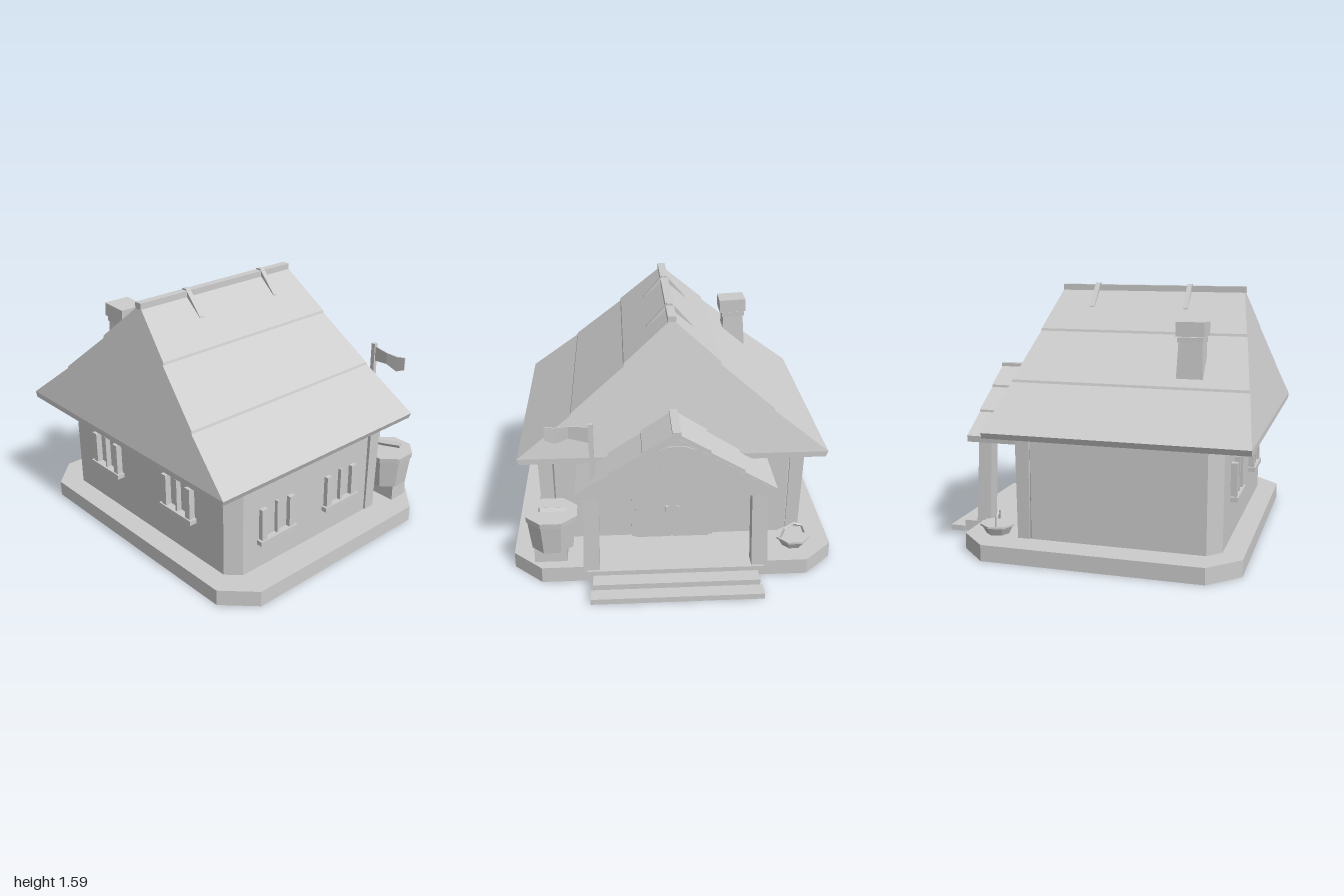
import * as THREE from 'three';

// Double-sided because the base and steps are hollow underneath
const stone = new THREE.MeshStandardMaterial({ color: 0xcccccc, side: THREE.DoubleSide });
stone.name = 'plain grey';

export function createModel() {
  const model = new THREE.Group();

  // Adds a faceted mesh
  function add(name, geo, x = 0, y = 0, z = 0, parent = model) {
    const g = geo.index ? geo.toNonIndexed() : geo;
    g.computeVertexNormals();
    const m = new THREE.Mesh(g, stone);
    m.name = name;
    m.position.set(x, y, z);
    parent.add(m);
    return m;
  }
  const box = (name, w, h, d, x, y, z, parent) =>
    add(name, new THREE.BoxGeometry(w, h, d), x, y, z, parent);

  // Solid between stacked rings of [x, y, z] points, counter-clockwise from above
  function loft(rings, openBottom = false) {
    const p = [];
    const n = rings[0].length;
    const tri = (a, b, c) => p.push(...a, ...b, ...c);
    for (let k = 0; k + 1 < rings.length; k++) {
      for (let i = 0; i < n; i++) {
        const j = (i + 1) % n, a = rings[k], b = rings[k + 1];
        tri(a[i], a[j], b[j]);
        tri(a[i], b[j], b[i]);
      }
    }
    const lo = rings[0], hi = rings[rings.length - 1];
    for (let i = 1; i + 1 < n; i++) {
      if (!openBottom) tri(lo[0], lo[i + 1], lo[i]);
      tri(hi[0], hi[i], hi[i + 1]);
    }
    const g = new THREE.BufferGeometry();
    g.setAttribute('position', new THREE.Float32BufferAttribute(p, 3));
    return g;
  }
  const rect = (y, x0, x1, z0, z1) => [[x0, y, z1], [x1, y, z1], [x1, y, z0], [x0, y, z0]];
  const octagon = (y, w, z0, z1, c) => [
    [-w + c, y, z1], [w - c, y, z1], [w, y, z1 - c], [w, y, z0 + c],
    [w - c, y, z0], [-w + c, y, z0], [-w, y, z0 + c], [-w, y, z1 - c]];
  // Flat outline extruded along +z from the given z
  function slab(points, z, depth) {
    const s = new THREE.Shape(points.map(([x, y]) => new THREE.Vector2(x, y)));
    return new THREE.ExtrudeGeometry(s, { depth, bevelEnabled: false }).translate(0, 0, z);
  }

  // Hollow base, porch edge and steps
  add('base', loft([octagon(0, 1, -0.75, 0.95, 0.18), octagon(0.1, 1, -0.75, 0.95, 0.18)], true));
  box('porchEdge', 1.08, 0.04, 0.06, 0, 0.08, -0.775);
  add('upperStep', loft([rect(0, -0.505, 0.505, -0.905, -0.75), rect(0.07, -0.505, 0.505, -0.905, -0.75)], true));
  add('lowerStep', loft([rect(0, -0.52, 0.52, -1, -0.905), rect(0.035, -0.52, 0.52, -1, -0.905)], true));

  // Walls with chamfered corners
  add('walls', loft([octagon(0.092, 0.815, -0.4, 0.82, 0.08), octagon(0.74, 0.818, -0.4, 0.822, 0.08)]));

  // Back corner posts, leaning outward
  for (const s of [-1, 1]) {
    add('cornerPost', loft([rect(0.1, s * 0.78 - 0.04, s * 0.78 + 0.04, -0.405, -0.33),
      rect(0.74, s * 0.795 - 0.045, s * 0.795 + 0.045, -0.405, -0.32)]));
  }

  // Main roof: eave band and three overlapping tiers, the gable ends leaning inward
  const roofRing = (y, w) => {
    const t = Math.max(0, (y - 0.76) / 0.8) * 0.2;
    return rect(y, -w, w, -0.575 + t, 1 - t);
  };
  const tiers = [
    [[0.725, 0.93], [0.76, 0.945], [1.03, 0.592]],
    [[1.012, 0.617], [1.027, 0.612], [1.31, 0.268]],
    [[1.295, 0.294], [1.31, 0.289], [1.555, 0.005]]];
  for (const tier of tiers) add('roofTier', loft(tier.map(([y, w]) => roofRing(y, w))));
  box('ridgeBeam', 0.05, 0.04, 1.19, 0, 1.555, 0.215);

  // Ridge clips
  const clip = [[-0.145, 1.42], [-0.02, 1.52], [0.02, 1.52], [0.145, 1.42], [0.14, 1.445],
    [0.015, 1.585], [-0.015, 1.585], [-0.14, 1.445]];
  for (const z of [0.455, -0.15]) add('ridgeClip', slab(clip, z - 0.015, 0.03));

  // Chimney
  add('chimneyShaft', loft([rect(0.95, -0.57, -0.405, 0.49, 0.66), rect(1.28, -0.547, -0.412, 0.505, 0.645)]));
  box('chimneyNeck', 0.155, 0.03, 0.15, -0.48, 1.29, 0.575).rotation.z = -0.05;
  box('chimneyCap', 0.178, 0.085, 0.17, -0.475, 1.352, 0.575).rotation.z = -0.05;

  // Porch roof: stepped chevron, closed gable and ridge
  const half = [[0.56, 0.61], [0.59, 0.615], [0.595, 0.655], [0.4, 0.77], [0.398, 0.785],
    [0.2, 0.9], [0.198, 0.915]];
  const mirrored = half.map(([x, y]) => [-x, y]).reverse();
  add('porchRoof', slab([...half, [0, 1.03], ...mirrored, [0, 0.95]], -0.83, 0.43));
  add('porchGable', slab([[-0.58, 0.615], [0.58, 0.615], [0.56, 0.66], [0, 1], [-0.56, 0.66]], -0.832, 0.04));
  box('porchRidge', 0.05, 0.035, 0.35, 0, 1.02, -0.66);

  // Gable shield
  const shield = [[-0.1, 0.93], [-0.05, 0.95], [0.05, 0.95], [0.1, 0.93], [0.09, 0.8], [0.05, 0.745],
    [-0.05, 0.745], [-0.09, 0.8]];
  add('shield', slab(shield, -0.84, 0.02));

  // Porch posts
  for (const s of [-1, 1]) {
    add('porchPost', loft([rect(0.09, s * 0.515 - 0.05, s * 0.515 + 0.05, -0.79, -0.7),
      rect(0.66, s * 0.5 - 0.045, s * 0.5 + 0.045, -0.77, -0.685)]));
  }

  // Arched double door
  const arch = (w, top) => {
    const pts = [[-w, 0.1], [w, 0.1]];
    for (let i = 0; i <= 10; i++) {
      const a = (i / 10) * Math.PI;
      pts.push([w * Math.cos(a), 0.42 + (top - 0.42) * Math.sin(a)]);
    }
    return pts;
  };
  add('doorFrame', slab(arch(0.26, 0.6), -0.42, 0.03));
  for (const s of [-1, 1]) {
    box('doorLeaf', 0.23, 0.34, 0.02, s * 0.121, 0.27, -0.422);
    box('doorKnob', 0.02, 0.035, 0.02, s * 0.035, 0.31, -0.437);
  }

  // Barred windows on the front and the left side
  function addWindow(x, y, z, turn) {
    const w = new THREE.Group();
    w.name = 'window';
    box('sill', 0.295, 0.03, 0.06, 0, 0.015, 0.015, w);
    for (const s of [-1, 1]) box('shutter', 0.042, 0.205, 0.05, s * 0.111, 0.13, 0.01, w);
    box('middleBar', 0.015, 0.215, 0.04, 0, 0.137, 0.01, w);
    w.position.set(x, y, z);
    w.rotation.y = turn;
    model.add(w);
  }
  addWindow(-0.375, 0.34, 0.825, 0);
  addWindow(0.35, 0.34, 0.825, 0);
  addWindow(0.81, 0.265, 0.485, Math.PI / 2);
  addWindow(0.81, 0.265, -0.06, Math.PI / 2);

  // Barrel on a stump, with a paddle across it
  box('barrelStump', 0.2, 0.11, 0.13, 0.765, 0.15, -0.615);
  const turn = Math.PI / 8;
  add('barrel', new THREE.CylinderGeometry(0.16, 0.135, 0.2, 8), 0.75, 0.3, -0.615).rotation.y = turn;
  add('barrelRim', new THREE.CylinderGeometry(0.168, 0.165, 0.035, 8), 0.75, 0.405, -0.615).rotation.y = turn;
  box('paddle', 0.17, 0.025, 0.03, 0.74, 0.445, -0.635).rotation.set(0.5, 0.27, 0);

  // Flag on a pole
  box('flagPole', 0.028, 0.36, 0.028, 0.49, 0.88, -0.735);
  const wave = [[0.5, -0.735, 0.94, 1.04], [0.62, -0.71, 0.96, 1.035], [0.7, -0.715, 0.93, 1.03], [0.757, -0.72, 0.955, 1.04]];
  for (let i = 0; i < 3; i++) {
    const [a, b] = [wave[i], wave[i + 1]];
    const ring = (k) => [[a[0], a[k], a[1] + 0.004], [b[0], b[k], b[1] + 0.004],
      [b[0], b[k], b[1] - 0.004], [a[0], a[k], a[1] - 0.004]];
    add('flag', loft([ring(2), ring(3)]));
  }

  // Small pot with an angular handle
  add('pot', new THREE.CylinderGeometry(0.1, 0.07, 0.055, 7), -0.76, 0.128, -0.56);
  add('potRim', new THREE.CylinderGeometry(0.108, 0.108, 0.012, 7), -0.76, 0.158, -0.56);
  add('potHandle', new THREE.TorusGeometry(0.085, 0.01, 4, 4, Math.PI), -0.76, 0.16, -0.56).rotation.y = 0.3;

  return model;
}
